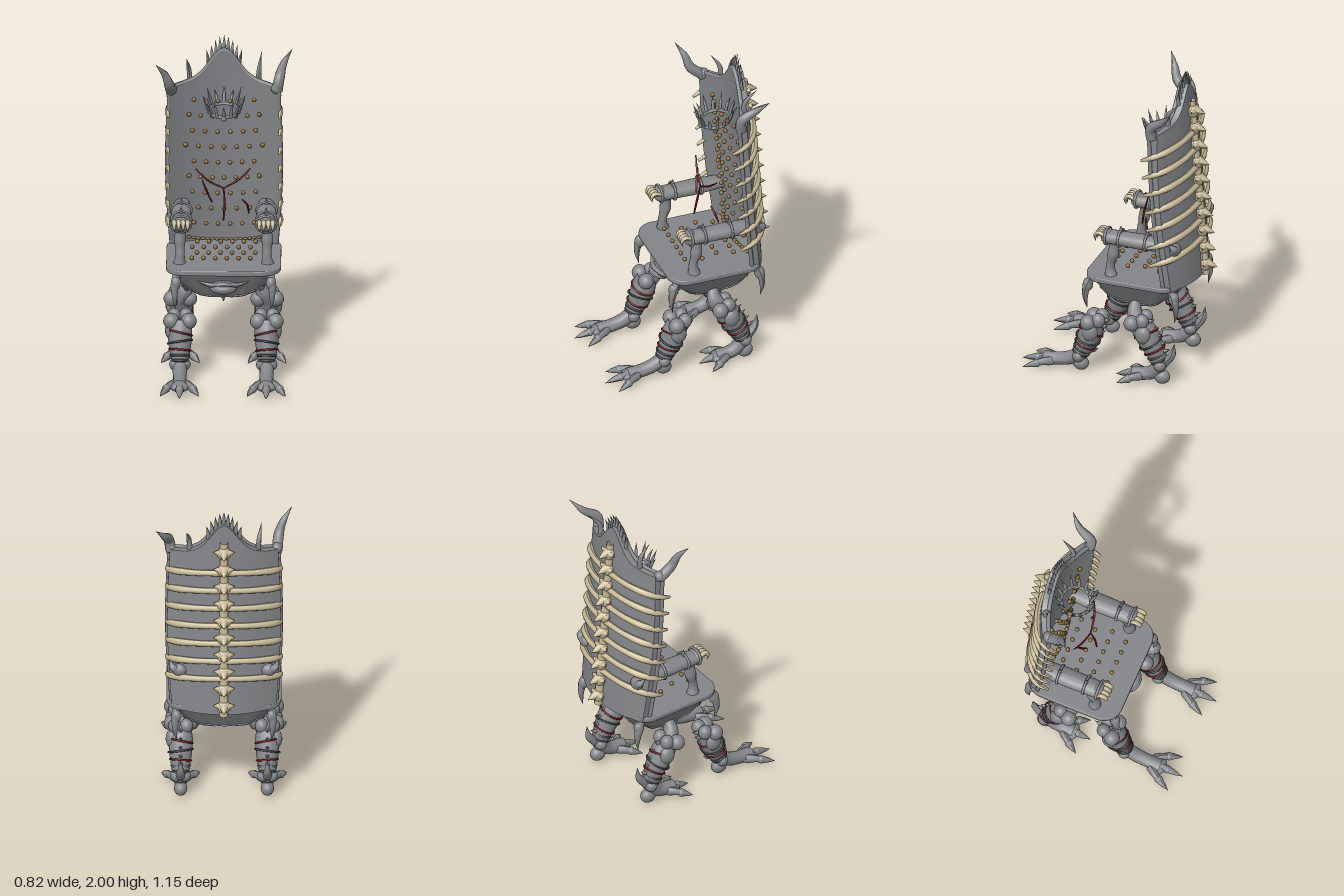
import * as THREE from 'three';

const V = (x, y, z) => new THREE.Vector3(x, y, z);
const material = (color) => new THREE.MeshStandardMaterial({ color, side: THREE.DoubleSide });
const grey = material(0x838588), bone = material(0xc6b897), brass = material(0x80643a);
const red = material(0x6e171b), dark = material(0x3c3e40);

function add(parent, name, geo, mat, x = 0, y = 0, z = 0) {
  const m = new THREE.Mesh(geo, mat);
  m.name = name;
  m.position.set(x, y, z);
  parent.add(m);
  return m;
}
function group(parent, name) {
  const g = new THREE.Group();
  g.name = name;
  parent.add(g);
  return g;
}
function ball(parent, name, mat, x, y, z, rx, ry = rx, rz = rx) {
  const m = add(parent, name, new THREE.SphereGeometry(1, 16, 12), mat, x, y, z);
  m.scale.set(rx, ry, rz);
  return m;
}
// Tube along a smooth path whose radius follows a list of values
function limb(parent, name, mat, pts, radii, seg = 14, sides = 9) {
  const curve = new THREE.CatmullRomCurve3(pts);
  const geo = new THREE.TubeGeometry(curve, seg, 1, sides);
  const p = geo.attributes.position, v = V(0, 0, 0);
  for (let i = 0; i <= seg; i++) {
    const c = curve.getPointAt(i / seg), f = (i / seg) * (radii.length - 1);
    const k = Math.min(Math.floor(f), radii.length - 2);
    const r = THREE.MathUtils.lerp(radii[k], radii[k + 1], f - k);
    for (let j = 0; j <= sides; j++) {
      const n = i * (sides + 1) + j;
      v.fromBufferAttribute(p, n).sub(c).multiplyScalar(Math.max(r, 0.0005)).add(c);
      p.setXYZ(n, v.x, v.y, v.z);
    }
  }
  geo.computeVertexNormals();
  return add(parent, name, geo, mat);
}
function band(parent, name, mat, at, dir, r, tube) {
  const m = add(parent, name, new THREE.TorusGeometry(r, tube, 8, 24), mat, at.x, at.y, at.z);
  m.quaternion.setFromUnitVectors(V(0, 0, 1), dir.clone().normalize());
  return m;
}

// Front face of the curved, forward-leaning backrest
const backZ = (x, y) => -0.435 + 0.076 * (y - 0.65) + 0.11 * (x / 0.34) ** 2;
const halfWidth = (t) => 0.312 + 0.012 * t + 0.022 * Math.sin(Math.PI * t);
const topY = (x) => 1.69 + 0.06 * (1 - Math.abs(x) / 0.34) + 0.155 * Math.exp(-((x / 0.11) ** 2));

function buildBackrest(root) {
  const g = group(root, 'backrest');
  const geo = new THREE.BoxGeometry(1, 1, 1, 40, 24, 1), p = geo.attributes.position;
  for (let i = 0; i < p.count; i++) {
    const t = p.getY(i) + 0.5, x = p.getX(i) * 2 * halfWidth(t);
    const y = 0.65 + t * (topY(x) - 0.65);
    p.setXYZ(i, x, y, backZ(x, y) + (p.getZ(i) - 0.5) * 0.06);
  }
  geo.computeVertexNormals();
  add(g, 'backPanel', geo, grey);
  // Thin rounded lip along the crest and sides
  const rim = [];
  for (let i = 0; i <= 10; i++) rim.push(V(-halfWidth(i / 10), 0.65 + i * 0.104, 0));
  for (let i = 1; i < 24; i++) rim.push(V(-0.324 + i * 0.027, topY(-0.324 + i * 0.027), 0));
  for (let i = 10; i >= 0; i--) rim.push(V(halfWidth(i / 10), 0.65 + i * 0.104, 0));
  rim.forEach((q) => { q.z = backZ(q.x, q.y) - 0.012; });
  limb(g, 'backRim', grey, rim, [0.013, 0.013], 120, 8);
  // Crest spikes
  for (let i = -4; i <= 4; i++) {
    const x = i * 0.023, y = topY(x) - 0.01, z = backZ(x, y) - 0.03;
    limb(g, 'crestSpike', grey, [V(x, y, z), V(x * 1.05, y + 0.045, z + 0.004), V(x * 1.15, y + 0.095, z - 0.01)], [0.013, 0.009, 0], 8, 7);
  }
  // Corner horns twist forward on one side and backward on the other
  for (const s of [1, -1]) {
    const tip = s > 0 ? -0.43 : -0.13, mid = s > 0 ? -0.3 : -0.22;
    limb(g, 'horn', grey, [V(s * 0.318, 1.67, -0.28), V(s * 0.33, 1.74, mid + 0.02), V(s * 0.355, 1.81, (mid + tip) / 2), V(s * 0.408, 1.885, tip)], [0.033, 0.031, 0.02, 0], 18, 12);
    ball(g, 'hornBase', grey, s * 0.316, 1.685, -0.28, 0.034);
    limb(g, 'smallHorn', grey, [V(s * 0.205, 1.69, -0.345), V(s * 0.21, 1.78, -0.345), V(s * 0.225, 1.87, s > 0 ? -0.42 : -0.29)], [0.018, 0.014, 0]);
  }
  // Rows of studs stand proud of the back
  for (let r = 0; r < 10; r++) {
    const y = 1.61 - r * 0.1, n = r === 9 ? 16 : r % 2 ? 7 : 6, w = [0.18, 0.21, 0.19, 0.23][r % 4];
    for (let i = 0; i < n; i++) {
      const x = (i / (n - 1) * 2 - 1) * w;
      ball(g, 'backStud', brass, x, y, backZ(0, y) + 0.1 - 0.03 * (x / 0.2) ** 2, 0.014, r === 9 ? 0.009 : 0.014, 0.014);
    }
  }
}

function buildSpine(root) {
  const g = group(root, 'spineAndRibs');
  for (let i = 0; i < 10; i++) {
    const y = 1.73 - i * 0.113, z = backZ(0, y) - 0.075;
    ball(g, 'vertebra', bone, 0, y, z, 0.042, 0.042, 0.036);
    limb(g, 'spineSpike', bone, [V(0, y + 0.01, z), V(0, y, z - 0.04), V(0, y - 0.01, z - 0.078)], [0.034, 0.02, 0], 8);
    for (const s of [1, -1])
      limb(g, 'sideProcess', bone, [V(0, y, z), V(s * 0.035, y + 0.01, z - 0.008), V(s * 0.065, y + 0.015, z - 0.01)], [0.028, 0.02, 0], 8);
  }
  limb(g, 'spinalCord', bone, [V(0, 1.8, backZ(0, 1.8) - 0.07), V(0, 1.2, backZ(0, 1.2) - 0.07), V(0, 0.65, backZ(0, 0.65) - 0.07)], [0.024, 0.027, 0.027]);
  for (let i = 0; i < 7; i++) for (const s of [1, -1]) {
    const y = 1.535 - i * 0.117;
    limb(g, 'rib', bone, [
      V(0, y + 0.062, backZ(0, y) - 0.068), V(s * 0.16, y + 0.055, backZ(0.16, y) - 0.072),
      V(s * 0.29, y + 0.035, backZ(0.29, y) - 0.068), V(s * 0.338, y + 0.01, backZ(0.33, y) - 0.02),
      V(s * 0.335, y - 0.02, backZ(0.33, y) + 0.045)], [0.02, 0.018, 0.019, 0.022, 0.02, 0.008], 26);
  }
}

function buildSeat(root) {
  const g = group(root, 'seat');
  const W = 0.338, F = 0.155, B = -0.43, mid = (F + B) / 2, half = (F - B) / 2, r = 0.11;
  const sh = new THREE.Shape();
  sh.absarc(W - r, half - r, r, 0, Math.PI / 2);
  sh.absarc(-W + r, half - r, r, Math.PI / 2, Math.PI);
  sh.absarc(-W + r, -half + r, r, Math.PI, Math.PI * 1.5);
  sh.absarc(W - r, -half + r, r, Math.PI * 1.5, Math.PI * 2);
  sh.closePath();
  const slab = new THREE.ExtrudeGeometry(sh, { depth: 0.016, bevelSize: 0.006, bevelThickness: 0.008, bevelSegments: 3, curveSegments: 8 });
  add(g, 'seatSlab', slab.rotateX(-Math.PI / 2), grey, 0, 0.652, -mid * -1);
  // Hollow tapering skirt, deep along the sides and shallow at the corners
  const ring = sh.getSpacedPoints(96), rows = 8, pos = [], idx = [];
  ring.forEach((q, i) => {
    const m = Math.min(Math.abs(q.x) / W, Math.abs(q.y) / half);
    const depth = 0.03 + 0.15 * (1 - m ** 4.5);
    for (let j = 0; j <= rows; j++) {
      const d = depth * j / rows;
      const k = 0.99 - 0.36 * (d / 0.18) + 0.006 * Math.sin(i * 1.6) * j / rows;
      pos.push(q.x * k, 0.66 - d, mid - q.y * k);
      if (i && j) {
        const a = i * (rows + 1) + j, b = a - rows - 1;
        idx.push(b - 1, b, a - 1, a - 1, b, a);
      }
    }
  });
  const skirt = new THREE.BufferGeometry();
  skirt.setAttribute('position', new THREE.Float32BufferAttribute(pos, 3));
  skirt.setIndex(idx);
  skirt.computeVertexNormals();
  add(g, 'seatSkirt', skirt, grey);
  const hem = ring.slice(0, -1).map((q, i) => V(...pos.slice((i * (rows + 1) + rows) * 3, (i * (rows + 1) + rows) * 3 + 3)));
  hem.push(hem[0].clone());
  limb(g, 'skirtHem', grey, hem, [0.007, 0.007], 120, 7);
  // Studs above the seat
  for (let row = 0; row < 4; row++) for (let i = 0; i < 6; i++)
    ball(g, 'seatStud', brass, -0.19 + i * 0.07 + (row % 2) * 0.03, 0.712, 0.02 - row * 0.1, 0.014);
  // Boss on the front with brow and hanging spike
  ball(g, 'frontBoss', grey, 0, 0.56, 0.115, 0.085, 0.042, 0.07);
  limb(g, 'bossBrow', grey, [V(-0.17, 0.605, 0.115), V(-0.08, 0.58, 0.135), V(0, 0.59, 0.16), V(0.08, 0.58, 0.135), V(0.17, 0.605, 0.115)], [0, 0.014, 0.016, 0.014, 0], 20);
  limb(g, 'hemSpike', grey, [V(0, 0.51, 0.05), V(0, 0.48, 0.035), V(0, 0.435, 0.02)], [0.018, 0.013, 0]);
  // Hanging claws at the corners
  for (const s of [1, -1]) for (const [z, dz] of [[0.115, 1], [-0.385, -1]]) {
    limb(g, 'cornerClaw', grey, [V(s * 0.28, 0.65, z), V(s * 0.292, 0.58, z + dz * 0.03), V(s * 0.292, 0.51, z + dz * 0.04), V(s * 0.285, 0.43, z + dz * 0.03)], [0.024, 0.026, 0.016, 0]);
    ball(g, 'cornerKnuckle', grey, s * 0.285, 0.595, z + dz * 0.025, 0.03, 0.042, 0.032);
  }
}

function buildArm(root, s) {
  const g = group(root, s > 0 ? 'leftArm' : 'rightArm'), x = s * 0.255;
  const rest = limb(g, 'armrest', grey, [V(0, 0, -0.4), V(0, 0, -0.2), V(0, 0, 0.03)], [0.045, 0.055, 0.06, 0.057, 0.055], 16, 20);
  rest.scale.y = 0.75;
  rest.position.set(x, 0.925, 0);
  ball(g, 'hand', grey, x, 0.928, 0.025, 0.058, 0.046, 0.04);
  for (const z of [-0.23, -0.06, 0.025]) {
    band(g, 'armRing', grey, V(x, 0.928, z), V(0, 0, 1), 0.06, 0.008).scale.y = 0.85;
    if (z < 0) limb(g, 'armSpike', grey, [V(x, 0.96, z), V(x, 0.985, z), V(x, 1.01, z)], [0.013, 0.01, 0], 6);
  }
  for (let i = 0; i < 4; i++) {
    const cx = x + (i - 1.5) * 0.027;
    limb(g, 'handClaw', bone, [V(cx, 0.945, 0.035), V(cx, 0.957, 0.07), V(cx, 0.935, 0.09), V(cx, 0.9, 0.085)], [0.013, 0.015, 0.011, 0], 10, 8);
  }
  limb(g, 'armPost', grey, [V(s * 0.265, 0.66, 0), V(s * 0.26, 0.73, 0.005), V(s * 0.262, 0.82, -0.015), V(x, 0.92, -0.02)], [0.042, 0.028, 0.026, 0.036, 0.03, 0.034], 18, 12);
  // Elbow and hooked claw behind the backrest
  ball(g, 'elbow', grey, s * 0.265, 0.915, -0.41, 0.045, 0.04, 0.035);
  limb(g, 'elbowClaw', grey, [V(s * 0.27, 0.915, -0.41), V(s * 0.305, 0.935, -0.42), V(s * 0.325, 0.975, -0.39)], [0.03, 0.022, 0]);
}

function buildLeg(root, name, s, knee, ankle, reach) {
  const g = group(root, name), x = s * 0.26;
  const K = V(x, knee[0], knee[1]), A = V(x, ankle[0], ankle[1]), dir = A.clone().sub(K);
  const at = (t, dx = 0, dz = 0) => K.clone().addScaledVector(dir, t).add(V(dx, 0, dz));
  limb(g, 'calf', grey, [K, at(0.5, 0, -0.008), A], [0.06, 0.074, 0.07, 0.06, 0.045], 18, 16);
  for (const d of [-1, 1]) {
    ball(g, 'kneeLobe', grey, x + d * 0.053, K.y, K.z + 0.025, 0.048);
    ball(g, 'thighLobe', grey, x + d * 0.035, K.y + 0.015, K.z - 0.035, 0.04, 0.046, 0.042);
    ball(g, 'ankleBone', grey, x + d * 0.026, A.y, A.z, 0.038);
  }
  const muscle = at(0.25, s * 0.05, -0.01);
  ball(g, 'outerMuscle', grey, muscle.x, muscle.y, muscle.z, 0.04, 0.06, 0.05);
  // Straps and cuts wound round the calf
  for (const [t, m, r, tilt] of [[0.3, red, 0.074, 0.06], [0.5, dark, 0.074, -0.04], [0.68, red, 0.065, 0.02]])
    band(g, m === red ? 'bloodBand' : 'strap', m, at(t, 0, -0.005), dir.clone().add(V(s * tilt, 0, 0)), r, 0.006);
  for (let i = 0; i < 3; i++)
    band(g, 'ankleCoil', i % 2 ? grey : dark, at(0.8 + i * 0.06), dir, 0.053 - i * 0.003, 0.008);
  // Spurs down the back
  for (let i = 0; i < 6; i++) {
    const q = at(i * 0.17, 0, -0.045);
    limb(g, 'spur', grey, [q, q.clone().add(V(0, 0.005, -0.03)), q.clone().add(V(0, 0.025, -0.06))], [0.018, 0.012, 0], 6, 7);
  }
  // Foot with three clawed toes
  const mz = A.z + reach * 0.6, toe = A.z + reach;
  ball(g, 'heel', grey, x, 0.045, A.z - 0.005, 0.04, 0.045, 0.05);
  limb(g, 'foot', grey, [A, V(x, 0.06, A.z + reach * 0.22), V(x, 0.035, mz)], [0.043, 0.042, 0.04, 0.044], 14, 14);
  ball(g, 'footPad', grey, x, 0.032, mz - 0.02, 0.068, 0.03, 0.06);
  for (const d of [-1, 0, 1]) {
    const tip = toe - Math.abs(d) * 0.045, px = (f) => x + d * f, lz = (f) => mz - 0.05 + (tip - mz + 0.05) * f;
    limb(g, 'toe', grey, [V(px(0.03), 0.04, lz(0)), V(px(0.062), 0.04, lz(0.3)), V(px(0.088), 0.028, lz(0.6)), V(px(0.116), 0.01, lz(1))], [0.026, 0.024, 0.021, 0.021, 0.013, 0], 18, 10);
    ball(g, 'knuckle', grey, px(0.08), 0.032, lz(0.5), 0.025);
  }
}

function buildCrown(root) {
  const g = group(root, 'crown');
  band(g, 'crownRing', grey, V(0, 1.56, -0.235), V(0, 1, 0.15), 0.09, 0.01);
  for (let i = 0; i < 14; i++) {
    const a = i / 14 * Math.PI * 2, c = Math.sin(a), d = Math.cos(a);
    const q = (r, y) => V(c * r, y - 0.014 * d, -0.235 + d * r);
    limb(g, 'crownSpike', grey, [q(0.09, 1.555), q(0.105, 1.6), q(0.132, 1.64 + (i % 2) * 0.03)], [0.011, 0.009, 0], 8, 7);
  }
  ball(g, 'crownBoss', grey, 0, 1.54, -0.145, 0.018);
}

export function createModel() {
  const root = new THREE.Group();
  root.name = 'boneThrone';
  buildBackrest(root);
  buildSpine(root);
  buildSeat(root);
  buildCrown(root);
  for (const s of [1, -1]) {
    buildArm(root, s);
    buildLeg(root, 'frontLeg', s, [0.35, 0.105], [0.1, 0.2], 0.37);
    buildLeg(root, 'rearLeg', s, [0.395, -0.175], [0.13, -0.32], 0.29);
    limb(root, 'rearThigh', grey, [V(s * 0.2, 0.5, -0.14), V(s * 0.235, 0.44, -0.14), V(s * 0.26, 0.38, -0.17)], [0.03, 0.045, 0.05], 10, 12);
    limb(root, 'heelSpur', grey, [V(s * 0.26, 0.14, -0.34), V(s * 0.26, 0.2, -0.39), V(s * 0.26, 0.28, -0.405)], [0.03, 0.022, 0]);
  }
  // Branching veins in front of the backrest
  const veins = group(root, 'veins');
  for (const pts of [
    [V(-0.17, 1.21, -0.175), V(-0.09, 1.14, -0.155), V(0, 1.1, -0.14)],
    [V(0.16, 1.21, -0.185), V(0.09, 1.15, -0.155), V(0, 1.1, -0.14)],
    [V(0, 1.1, -0.14), V(0.005, 1.0, -0.115), V(-0.002, 0.91, -0.1)],
    [V(-0.13, 1.14, -0.175), V(-0.1, 1.07, -0.155), V(-0.07, 1.01, -0.14)],
    [V(0.11, 1.02, -0.165), V(0.14, 0.98, -0.18), V(0.15, 0.92, -0.2)]])
    limb(veins, 'vein', red, pts, [0.004, 0.007, 0.005], 14, 6);
  return root;
}
